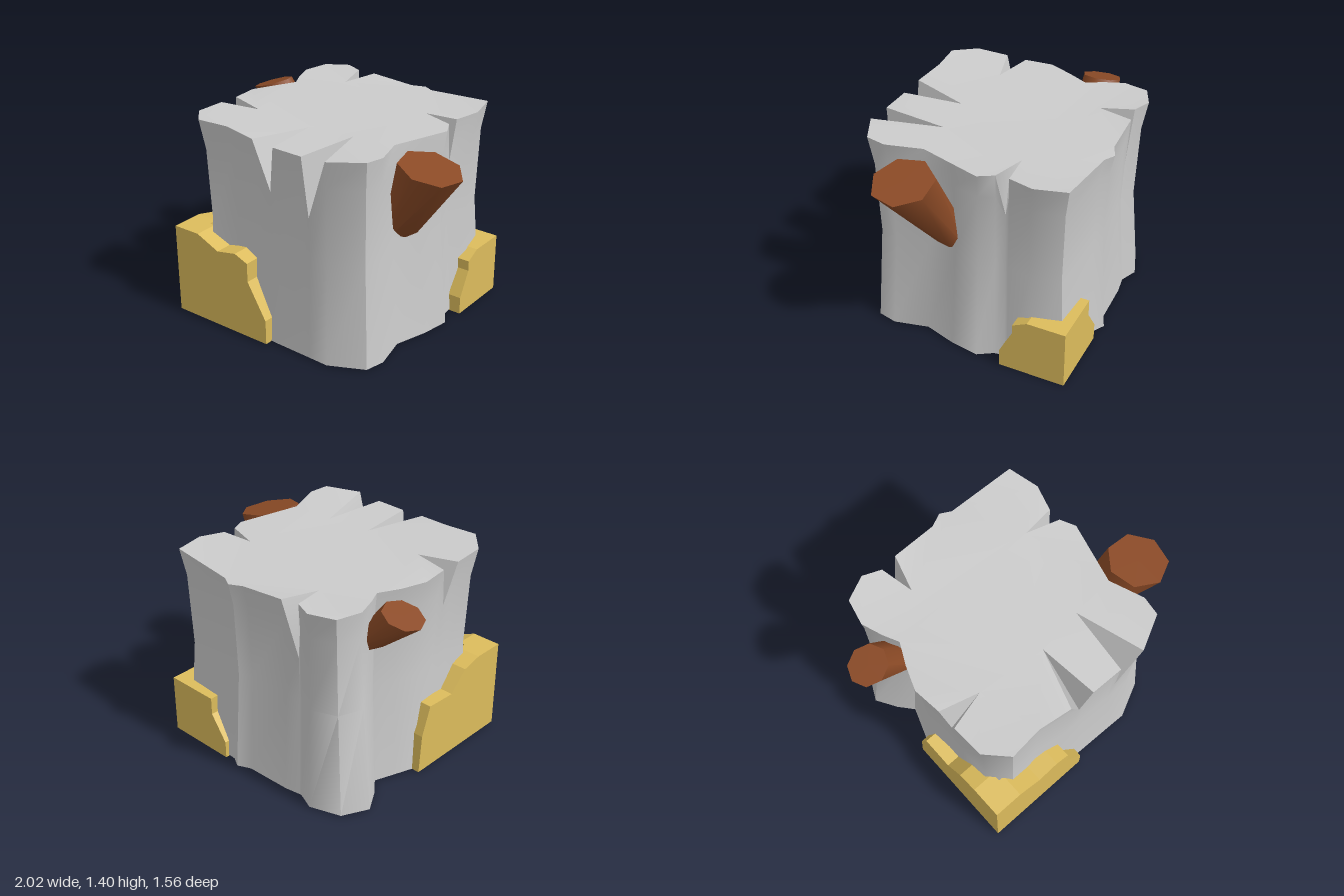
import * as THREE from 'three';
import { toCreasedNormals } from 'three/addons/utils/BufferGeometryUtils.js';

// Trunk outline at the cut, counter-clockwise from above: x, z.
// Where a wedge split follows the point: its depth y, then x, z of its inner tip.
const OUTLINE = [
  [-0.75, 0.57], [-0.62, 0.71], [-0.4, 0.69], [-0.17, 0.72, 1.06, -0.04, 0.33],
  [0, 0.73], [0.22, 0.735, 0.97, 0.27, 0.29],
  [0.4, 0.74], [0.62, 0.63], [0.64, 0.5], [0.56, 0.27], [0.62, 0.05], [0.67, -0.14],
  [0.62, -0.24, 1.09, 0.4, -0.31],
  [0.62, -0.33], [0.67, -0.5], [0.62, -0.71], [0.16, -0.74], [0.09, -0.78], [0, -0.74],
  [-0.31, -0.73, 1.0, -0.38, -0.49],
  [-0.43, -0.71], [-0.55, -0.76], [-0.71, -0.69], [-0.75, -0.52], [-0.7, -0.38], [-0.65, -0.28],
  [-0.72, -0.14], [-0.78, 0.02], [-0.76, 0.21, 1.1, -0.5, 0.28],
  [-0.76, 0.35],
];

// Slightly uneven cut surface
const cutPoint = ([x, z]) => new THREE.Vector3(
  x, 1.38 + 0.018 * Math.sin(5 * x + 1) * Math.cos(4 * z) + 0.012 * z, z);

// How far the roots spread sideways on either side of the trunk
function rootSpread(x, z) {
  if (x > 0.5) return 0.06 * Math.exp(-(((z - 0.1) / 0.4) ** 2));
  if (x < -0.6) return -0.09 * Math.exp(-(((z + 0.52) / 0.2) ** 2));
  return 0;
}

// One vertical line of wall points; the waist is narrower than both ends
function wallColumn(rim, depth) {
  const at = (y, spread, waist) => new THREE.Vector3(
    (rim.x + spread * rootSpread(rim.x, rim.z)) * waist, y, rim.z * waist);
  const lower = [at(0.01, 1, 1), at(0.7, 0.5, 0.94)];
  if (depth) {
    const notch = at(depth, 0.25, 0.955);
    return [...lower, notch, notch];
  }
  return [...lower, at(1.2, 0.15, 0.96), rim];
}

function trunkGeometry() {
  const positions = [];
  const tri = (a, b, c) => {
    if (a !== b && b !== c && a !== c) for (const v of [a, b, c]) positions.push(v.x, v.y, v.z);
  };
  const columns = [];
  const rim = [];
  OUTLINE.forEach((point, i) => {
    const [, , depth, tipX, tipZ] = point;
    const a = cutPoint(point);
    const b = cutPoint(OUTLINE[(i + 1) % OUTLINE.length]);
    columns.push(wallColumn(a));
    rim.push(a);
    if (depth) {
      // wedge split: a wall column straight out from the tip, and two inner walls
      const tip = new THREE.Vector3(tipX, 1.37, tipZ);
      const foot = new THREE.Line3(a, b).closestPointToPoint(tip, true, new THREE.Vector3());
      const column = wallColumn(foot, depth);
      columns.push(column);
      rim.push(tip);
      tri(a, column[3], tip);
      tri(column[3], b, tip);
    }
  });
  // bark
  columns.forEach((col, i) => {
    const next = columns[(i + 1) % columns.length];
    for (let k = 0; k < 3; k++) {
      tri(col[k], next[k], next[k + 1]);
      tri(col[k], next[k + 1], col[k + 1]);
    }
  });
  // cut top and underside
  const cap = (loop, up) => {
    const flat = loop.map((v) => new THREE.Vector2(v.x, -v.z));
    for (const [a, b, c] of THREE.ShapeUtils.triangulateShape(flat, [])) {
      if (up) tri(loop[a], loop[b], loop[c]);
      else tri(loop[a], loop[c], loop[b]);
    }
  };
  cap(rim, true);
  cap(columns.map((c) => c[0]), false);
  const g = new THREE.BufferGeometry();
  g.setAttribute('position', new THREE.Float32BufferAttribute(positions, 3));
  return toCreasedNormals(g, 0.85);
}

// Tapered, sheared stub with a sloping cut end
function branchGeometry(from, to, r0, r1, sides, slope) {
  const g = new THREE.CylinderGeometry(1, 1, 1, sides);
  const p = g.attributes.position;
  const v = new THREE.Vector3();
  for (let i = 0; i < p.count; i++) {
    v.fromBufferAttribute(p, i);
    const t = v.y + 0.5;
    const r = THREE.MathUtils.lerp(r0, r1, t);
    const c = new THREE.Vector3(...from).lerp(new THREE.Vector3(...to), t);
    p.setXYZ(i, c.x + v.x * r, c.y + slope * v.x * r * t, c.z + v.z * r);
  }
  return toCreasedNormals(g, 1.0);
}

// Flat plate cut from an outline
function plate(points, depth) {
  const shape = new THREE.Shape(points.map(([x, y]) => new THREE.Vector2(x, y)));
  return new THREE.ExtrudeGeometry(shape, { depth, bevelEnabled: false });
}

export function createModel() {
  const model = new THREE.Group();
  const wood = new THREE.MeshStandardMaterial({ color: 0xcccccc });
  const bark = new THREE.MeshStandardMaterial({ color: 0x8b4a26 });
  const moss = new THREE.MeshStandardMaterial({ color: 0xdcbc5c });
  const add = (name, geometry, material, parent = model) => {
    const mesh = new THREE.Mesh(geometry, material);
    mesh.name = name;
    parent.add(mesh);
    return mesh;
  };

  add('trunk', trunkGeometry(), wood);
  add('leftBranch', branchGeometry([0.51, 0.74, 0.11], [0.82, 1.295, 0.27], 0.11, 0.2, 7, -0.24), bark);
  add('rightBranch', branchGeometry([-0.62, 1.05, -0.31], [-0.88, 1.32, -0.31], 0.11, 0.13, 8, 0.33), bark);

  // Moss wraps a corner with two plates; side outlines use -z as their first value
  const T = 0.16;
  const frontMoss = new THREE.Group();
  frontMoss.name = 'frontMoss';
  add('frontMossFace', plate([[-0.82, 0.01], [-0.06, 0.01], [-0.06, 0.18], [-0.2, 0.42], [-0.2, 0.55],
    [-0.3, 0.59], [-0.45, 0.56], [-0.62, 0.635], [-0.82, 0.635]], T), moss, frontMoss).position.z = 0.78 - T;
  add('frontMossSide', plate([[-0.78, 0.01], [0.02, 0.01], [0, 0.28], [-0.07, 0.48], [-0.29, 0.47],
    [-0.42, 0.6], [-0.56, 0.635], [-0.78, 0.635]], T).rotateY(Math.PI / 2), moss, frontMoss).position.x = -0.82;

  const backMoss = new THREE.Group();
  backMoss.name = 'backMoss';
  add('backMossFace', plate([[0.22, 0], [0.72, 0], [0.72, 0.41], [0.34, 0.41], [0.34, 0.29],
    [0.22, 0.12]], T), moss, backMoss).position.z = -0.76;
  add('backMossSide', plate([[0.31, 0], [0.76, 0], [0.76, 0.41], [0.5, 0.41], [0.4, 0.36], [0.4, 0.29],
    [0.31, 0.12]], T).rotateY(Math.PI / 2), moss, backMoss).position.x = 0.72 - T;

  model.add(frontMoss, backMoss);
  return model;
}
